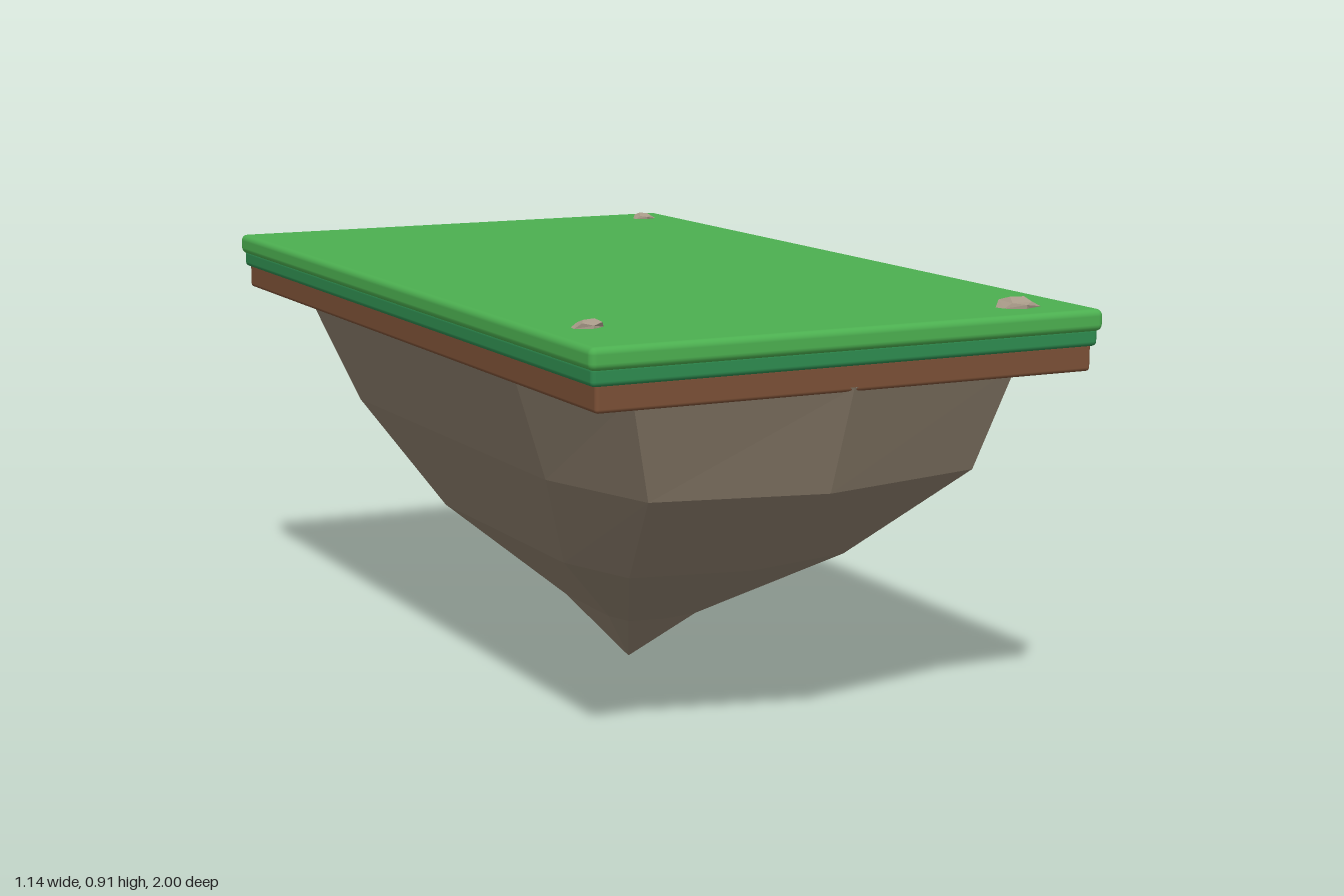
import * as THREE from 'three';
import { RoundedBoxGeometry } from 'three/addons/geometries/RoundedBoxGeometry.js';

const mat = (color, flatShading = false) => new THREE.MeshStandardMaterial({ color, flatShading });

// Rounded layer between two heights
function slab(name, halfX, halfZ, y0, y1, radius, color) {
  const geo = new RoundedBoxGeometry(halfX * 2, y1 - y0, halfZ * 2, 3, radius);
  const mesh = new THREE.Mesh(geo, mat(color));
  mesh.name = name;
  mesh.position.y = (y0 + y1) / 2;
  return mesh;
}

// Faceted underside: ten-sided squarish rings narrowing to a point
function rockUnderside() {
  const sides = 10;
  // y, then reach toward +x, -x, +z, -z
  const rings = [
    [0.775, 0.55, 0.55, 0.985, 0.98],
    [0.55, 0.487, 0.458, 0.9, 0.87],
    [0.325, 0.322, 0.328, 0.58, 0.52],
    [0.13, 0.107, 0.105, 0.185, 0.195],
  ];
  const soften = (v) => Math.sign(v) * Math.abs(v) ** 0.45;
  const pos = [];
  const index = [];
  for (const [y, xp, xm, zp, zm] of rings) {
    for (let i = 0; i < sides; i++) {
      const a = (i / sides) * Math.PI * 2;
      const s = i % 5 === 0 ? 0 : soften(Math.sin(a));
      const c = soften(Math.cos(a));
      pos.push(s * (s > 0 ? xp : xm), y, c * (c > 0 ? zp : zm));
    }
  }
  const tip = pos.length / 3;
  pos.push(0, 0, 0);
  const top = tip + 1;
  pos.push(0, 0.775, 0);
  for (let i = 0; i < sides; i++) {
    const j = (i + 1) % sides;
    index.push(top, i, j);
    for (let r = 0; r < rings.length - 1; r++) {
      const a = r * sides + i, b = r * sides + j;
      index.push(a, a + sides, b, b, a + sides, b + sides);
    }
    const last = (rings.length - 1) * sides;
    index.push(last + i, tip, last + j);
  }
  const geo = new THREE.BufferGeometry();
  geo.setAttribute('position', new THREE.Float32BufferAttribute(pos, 3));
  geo.setIndex(index);
  const flat = geo.toNonIndexed();
  flat.computeVertexNormals();
  const mesh = new THREE.Mesh(flat, mat(0x8b7d6b, true));
  mesh.name = 'rockUnderside';
  return mesh;
}

// Small irregular stone, shifted consistently at shared corners
function pebble(x, z, rx, ry, rz, seed) {
  const geo = new THREE.DodecahedronGeometry(1, 0);
  const p = geo.attributes.position;
  const v = new THREE.Vector3();
  for (let i = 0; i < p.count; i++) {
    v.fromBufferAttribute(p, i);
    const k = 1 + 0.13 * Math.sin(seed + v.x * 5.1 + v.y * 3.7 + v.z * 7.3);
    p.setXYZ(i, v.x * k * rx, v.y * k * ry, v.z * k * rz);
  }
  geo.computeVertexNormals();
  const mesh = new THREE.Mesh(geo, mat(0xa89a88, true));
  mesh.name = 'pebble';
  mesh.position.set(x, 0.893, z);
  return mesh;
}

export function createModel() {
  const model = new THREE.Group();
  model.name = 'floatingIsland';
  model.add(
    slab('grassTop', 0.57, 1.0, 0.848, 0.893, 0.014, 0x4caf50),
    slab('grassEdge', 0.563, 0.99, 0.817, 0.856, 0.01, 0x2e8b4f),
    slab('soilLayer', 0.552, 0.983, 0.766, 0.824, 0.008, 0x7b5036),
    rockUnderside(),
    pebble(0.43, 0.895, 0.046, 0.022, 0.036, 1),
    pebble(-0.46, 0.76, 0.034, 0.017, 0.028, 4),
    pebble(0.478, -0.882, 0.029, 0.015, 0.021, 7),
  );
  return model;
}
